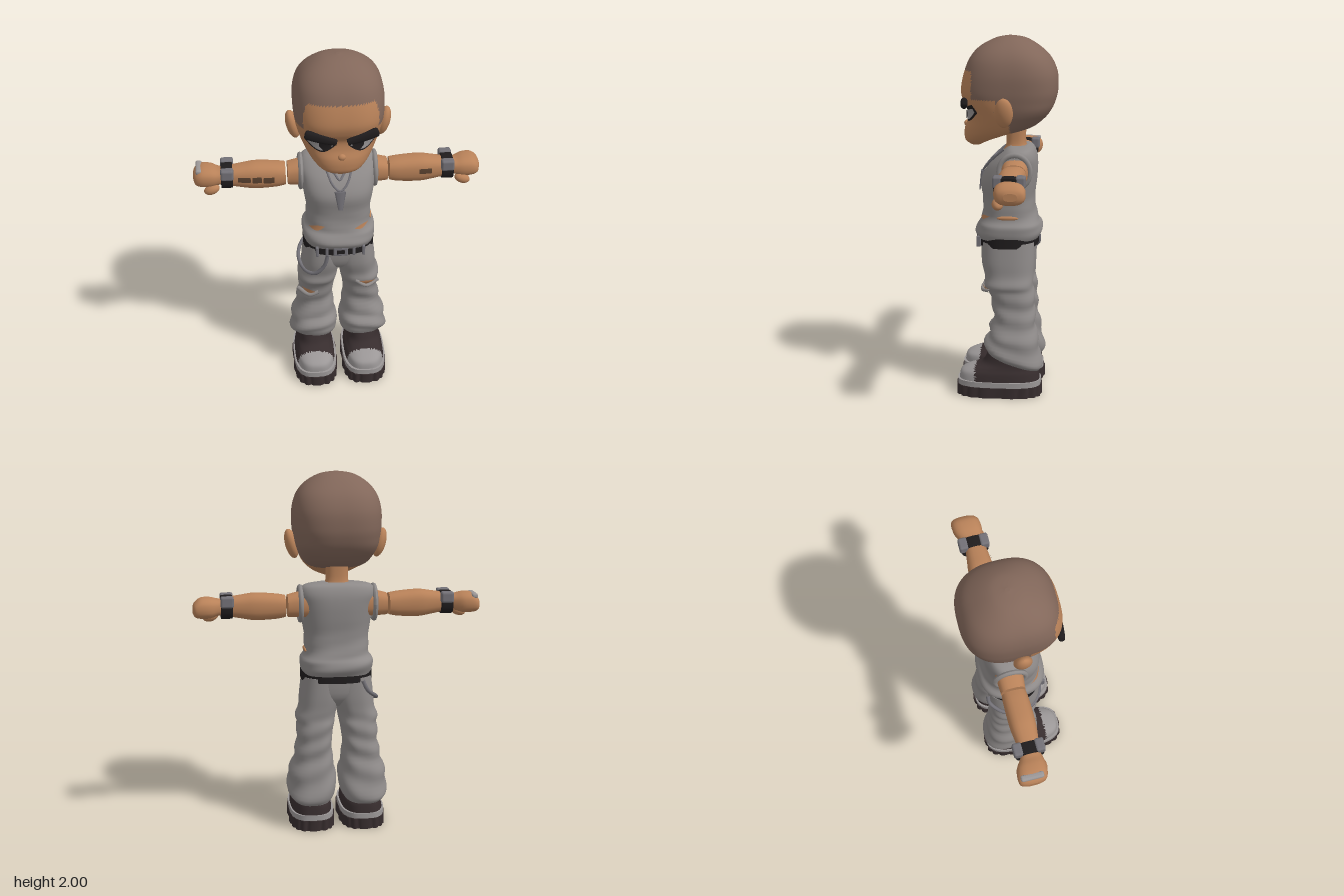
import * as THREE from 'three';
import { RoundedBoxGeometry } from 'three/addons/geometries/RoundedBoxGeometry.js';

const mat = (name, color) => Object.assign(new THREE.MeshStandardMaterial({ color }), { name });
const V = (x, y, z) => new THREE.Vector3(x, y, z);

// Smooth blend of cross-section rows [y, xMin, xMax, zMin, zMax, squareness]
function rowAt(rows, u) {
  const i = Math.min(Math.floor(u), rows.length - 2), t = u - i;
  const r = k => rows[Math.max(0, Math.min(rows.length - 1, k))];
  return [0, 1, 2, 3, 4, 5].map(k => {
    const [a, b, c, d] = [r(i - 1), r(i), r(i + 1), r(i + 2)].map(q => q[k] ?? 2.5);
    return b + 0.5 * t * (c - a + t * (2 * a - 5 * b + 4 * c - d + t * (3 * (b - c) + d - a)));
  });
}

// Capped loft along y; pick() sends faces to a second material, deform() shifts points
function loft(rows, { cols = 32, sub = 4, pick = () => 0, deform } = {}) {
  const pos = [], idx = [[], []], n = (rows.length - 1) * sub;
  for (let j = 0; j <= n; j++) {
    const [y, x0, x1, z0, z1, p] = rowAt(rows, j / sub);
    for (let i = 0; i < cols; i++) {
      const a = i / cols * Math.PI * 2, c = Math.cos(a), s = Math.sin(a);
      const v = V((x0 + x1) / 2 + (x1 - x0) / 2 * Math.sign(c) * Math.abs(c) ** (2 / p), y,
        (z0 + z1) / 2 + (z1 - z0) / 2 * Math.sign(s) * Math.abs(s) ** (2 / p));
      if (deform) deform(v, a, (x0 + x1) / 2, (z0 + z1) / 2);
      pos.push(v.x, v.y, v.z);
    }
  }
  const tri = (a, b, c) => {
    const m = k => (pos[a * 3 + k] + pos[b * 3 + k] + pos[c * 3 + k]) / 3;
    idx[pick(m(0), m(1), m(2)) ? 1 : 0].push(a, b, c);
  };
  for (let j = 0; j < n; j++) for (let i = 0; i < cols; i++) {
    const a = j * cols + i, b = j * cols + (i + 1) % cols;
    tri(a, a + cols, b); tri(b, a + cols, b + cols);
  }
  for (const j of [0, n]) {
    const base = pos.length / 3, mid = [0, 0, 0];
    for (let i = 0; i < cols; i++) for (let k = 0; k < 3; k++) {
      const q = pos[(j * cols + i) * 3 + k];
      pos.push(q); mid[k] += q / cols;
    }
    pos.push(...mid);
    for (let i = 0; i < cols; i++) {
      const a = base + i, b = base + (i + 1) % cols;
      j ? tri(b, a, base + cols) : tri(a, b, base + cols);
    }
  }
  const g = new THREE.BufferGeometry();
  g.setAttribute('position', new THREE.Float32BufferAttribute(pos, 3));
  g.setIndex([...idx[0], ...idx[1]]);
  g.addGroup(0, idx[0].length, 0); g.addGroup(idx[0].length, idx[1].length, 1);
  g.computeVertexNormals();
  return g;
}

// Front surface depth of a loft at x, y
function frontZ(rows, x, y) {
  let lo = 0, hi = rows.length - 1;
  for (let k = 0; k < 30; k++) { const m = (lo + hi) / 2; rowAt(rows, m)[0] < y ? lo = m : hi = m; }
  const [, x0, x1, z0, z1, p] = rowAt(rows, lo);
  const t = Math.min(0.99, Math.abs(x - (x0 + x1) / 2) / ((x1 - x0) / 2));
  return (z0 + z1) / 2 + (z1 - z0) / 2 * (1 - t ** p) ** (1 / p);
}

// Thin sheet following the front of a loft between two curves
function patch(rows, x0, x1, bottom, top, off) {
  const g = new THREE.PlaneGeometry(1, 1, 12, 6), P = g.attributes.position;
  for (let i = 0; i < P.count; i++) {
    const t = P.getX(i) + 0.5, x = x0 + (x1 - x0) * t;
    const y = bottom(t) + (top(t) - bottom(t)) * (P.getY(i) + 0.5);
    P.setXYZ(i, x, y, frontZ(rows, x, y) + off);
  }
  g.computeVertexNormals();
  return g;
}
const lens = (rows, x0, x1, y, h, slope, off) => patch(rows, x0, x1,
  t => y + slope * t - h * Math.sin(Math.PI * t), t => y + slope * t + h * 0.6 * Math.sin(Math.PI * t), off);

const tube = (pts, r, n = 24) => new THREE.TubeGeometry(new THREE.CatmullRomCurve3(pts), n, r, 8);
const ball = (x, y, z, a, b, c) => new THREE.SphereGeometry(1, 20, 14).scale(a, b, c).translate(x, y, z);
const box = (x, y, z, w, h, d, r = 0.01) => new RoundedBoxGeometry(w, h, d, 2, r).translate(x, y, z);

// Limb rows run along +x: [x, yMin, yMax, zMin, zMax]
const limbRows = rows => rows.map(([x, lo, hi, ...z]) => [x, -hi, -lo, ...z]);
const limb = rows => loft(limbRows(rows), { cols: 24 }).rotateZ(-Math.PI / 2);

function mirror(geo) {
  const g = geo.clone().scale(-1, 1, 1);
  if (!g.index) g.setIndex([...Array(g.attributes.position.count).keys()]);
  const a = g.index.array;
  for (let i = 0; i < a.length; i += 3) [a[i], a[i + 1]] = [a[i + 1], a[i]];
  g.computeVertexNormals();
  return g;
}

export function createModel() {
  const root = new THREE.Group();
  const skin = mat('skin', 0xb98259), hair = mat('cropped hair', 0x82675a), cloth = mat('grey cloth', 0x8e8a89),
    dark = mat('dark leather', 0x372d2e), black = mat('black', 0x1f1c1d), light = mat('light rubber', 0x9b9797),
    steel = mat('steel', 0x737177), ink = mat('ink', 0x59412f);
  const add = (name, geo, m) => {
    const mesh = new THREE.Mesh(geo, m); mesh.name = name; root.add(mesh);
  };
  const pair = (name, geo, m) => { add(name + 'Left', geo, m); add(name + 'Right', mirror(geo), m); };

  // Head with hairline, ears, nose
  const head = [
    [1.4, -0.04, 0.04, 0.15, 0.205, 2.2], [1.425, -0.1, 0.1, 0.1, 0.235, 2.3], [1.46, -0.145, 0.145, 0, 0.242, 2.3],
    [1.5, -0.18, 0.18, -0.13, 0.238, 2.4], [1.55, -0.207, 0.207, -0.2, 0.22, 2.6], [1.6, -0.225, 0.225, -0.24, 0.218, 2.8],
    [1.65, -0.235, 0.235, -0.262, 0.245, 2.8], [1.71, -0.242, 0.242, -0.274, 0.257, 2.8], [1.8, -0.241, 0.241, -0.27, 0.24, 2.7],
    [1.88, -0.218, 0.218, -0.235, 0.208, 2.6], [1.94, -0.17, 0.17, -0.175, 0.155, 2.4], [1.985, -0.095, 0.095, -0.1, 0.07, 2.2],
    [2, -0.01, 0.01, -0.025, 0, 2]];
  const isHair = (x, y, z) => y > 1.82 || (y > 1.67 && z < 0.185) || (y > 1.6 && z < 0.05) || (z < -0.02 && y > 1.47);
  add('head', loft(head, { cols: 96, sub: 7, pick: isHair }), [skin, hair]);
  pair('ear', ball(0, 0, 0, 0.035, 0.083, 0.05).rotateZ(-0.25).translate(0.245, 1.605, 0.005), skin);
  add('nose', ball(0, 1.515, 0.228, 0.022, 0.018, 0.018), skin);
  add('neck', loft([[1.3, -0.1, 0.1, -0.13, 0.04], [1.37, -0.085, 0.085, -0.12, 0.025], [1.41, -0.062, 0.062, -0.1, 0.01],
    [1.52, -0.065, 0.065, -0.1, 0.01]]), skin);

  // Eyes and brows
  const sin = t => Math.sin(Math.PI * t);
  pair('eyeOutline', patch(head, 0.035, 0.19, t => 1.58 + 0.015 * t - 0.045 * sin(t), t => 1.595 + 0.045 * t, 0.004), black);
  pair('eyeWhite', patch(head, 0.045, 0.182, t => 1.583 + 0.015 * t - 0.038 * sin(t), t => 1.588 + 0.03 * t, 0.008), light);
  pair('iris', patch(head, 0.055, 0.118, t => 1.578 - 0.025 * sin(t), t => 1.59 + 0.015 * t, 0.012), black);
  const browRows = [[0, -0.01, 0.01, -0.012, 0.012], [0.01, -0.017, 0.017, -0.016, 0.016], [0.09, -0.025, 0.025, -0.02, 0.02],
    [0.16, -0.024, 0.024, -0.018, 0.018], [0.172, -0.012, 0.012, -0.01, 0.01]];
  pair('brow', limb(browRows).rotateY(0.12).rotateZ(0.27).translate(0.028, 1.612, 0.243), black);

  // Sleeveless shirt
  const shirt = [[0.885, -0.19, 0.19, -0.175, 0.165, 2.7], [0.92, -0.205, 0.205, -0.19, 0.18, 2.7], [0.96, -0.2, 0.2, -0.19, 0.168, 2.7],
    [1, -0.182, 0.182, -0.165, 0.145, 2.6], [1.1, -0.18, 0.18, -0.15, 0.138, 2.6], [1.2, -0.195, 0.195, -0.16, 0.15, 2.6],
    [1.28, -0.205, 0.205, -0.165, 0.115, 2.6], [1.34, -0.21, 0.21, -0.16, 0.06, 2.7], [1.385, -0.185, 0.185, -0.14, 0.01, 2.6],
    [1.4, -0.1, 0.1, -0.11, -0.01, 2.4]];
  const folds = (v, a) => {
    const k = 0.004 * Math.sin(v.y * 70 + 3 * Math.cos(a)) * Math.max(0, 1 - Math.abs(v.y - 0.97) * 5);
    v.x += k * Math.cos(a); v.z += k * Math.sin(a);
  };
  add('shirt', loft(shirt, { cols: 48, deform: folds }), cloth);
  pair('armhole', new THREE.TorusGeometry(0.085, 0.014, 8, 28).scale(1, 1.08, 1).rotateY(Math.PI / 2).translate(0.205, 1.28, -0.05), cloth);
  add('shirtRipRight', lens(shirt, -0.17, -0.085, 1.0, 0.018, 0.025, 0.008), skin);
  add('shirtRipLeft', lens(shirt, 0.08, 0.16, 1.005, 0.015, 0.015, 0.008), skin);
  add('shirtRipSide', ball(0.177, 1.015, -0.01, 0.01, 0.012, 0.06), skin);

  // Necklaces and pendant
  const onChest = (x, y) => V(x, y, frontZ(shirt, x, y) + 0.008);
  for (const [x, low] of [[0.085, 1.25], [0.065, 1.3]])
    add('necklace', tube([[-x, 1.38], [-x * 0.8, 1.34], [-x * 0.45, low + 0.03], [0, low], [x * 0.45, low + 0.03], [x * 0.8, 1.34], [x, 1.38]]
      .map(q => onChest(...q)), 0.006), steel);
  add('pendant', new THREE.CylinderGeometry(0.032, 0.012, 0.11, 8).scale(1, 1, 0.3).rotateX(-0.15).translate(0, 1.195, 0.152), steel);

  // Belt, buckle and hip chain
  add('belt', loft([[0.845, -0.2, 0.2, -0.172, 0.162], [0.9, -0.2, 0.2, -0.172, 0.162]], { cols: 48 }), black);
  add('buckle', box(0, 0.872, 0.164, 0.08, 0.055, 0.018, 0.006), steel);
  add('buckleCentre', box(0, 0.872, 0.171, 0.045, 0.026, 0.01, 0.004), black);
  for (const x of [-0.13, -0.075, 0.075, 0.13]) add('beltLoop', box(x, 0.872, 0.155, 0.016, 0.06, 0.025, 0.005), steel);
  add('hipChain', tube([V(-0.07, 0.85, 0.155), V(-0.09, 0.77, 0.15), V(-0.14, 0.71, 0.135), V(-0.19, 0.7, 0.09), V(-0.225, 0.72, 0),
    V(-0.215, 0.75, -0.09), V(-0.16, 0.8, -0.16), V(-0.13, 0.86, -0.165)], 0.011, 48), steel);

  // Baggy trousers
  const leg = [[0.19, 0.03, 0.262, -0.195, 0.1], [0.225, 0.01, 0.28, -0.2, 0.12], [0.3, 0.008, 0.275, -0.185, 0.115],
    [0.36, 0.02, 0.258, -0.17, 0.09], [0.45, 0.03, 0.235, -0.16, 0.07], [0.52, 0.03, 0.23, -0.16, 0.078], [0.59, 0.016, 0.225, -0.155, 0.1],
    [0.63, 0.01, 0.236, -0.15, 0.122], [0.68, 0, 0.215, -0.15, 0.122], [0.76, -0.02, 0.208, -0.155, 0.14], [0.87, -0.02, 0.195, -0.155, 0.14]];
  const baggy = (v, a, cx, cz) => {
    const k = 0.007 * Math.sin(v.y * 55 + 2.5 * Math.cos(a + 0.6)) * Math.max(0, Math.min(1, (0.7 - v.y) * 5));
    v.y += (v.z - cz) * 0.3 * Math.max(0, Math.min(1, (0.36 - v.y) * 7));
    v.x += k * Math.cos(a) * (v.x > cx ? 1 : 0.3); v.z += k * Math.sin(a);
  };
  pair('trouserLeg', loft(leg, { cols: 40, deform: baggy }), cloth);
  add('hips', loft([[0.7, -0.1, 0.1, -0.1, 0.08], [0.76, -0.18, 0.18, -0.148, 0.13], [0.87, -0.195, 0.195, -0.158, 0.145]]), cloth);
  add('kneeRipLeft', lens(leg, 0.095, 0.215, 0.628, 0.022, -0.01, 0.01), skin);
  add('kneeFlapLeft', tube([V(0.09, 0.635, 0.12), V(0.15, 0.605, 0.132), V(0.222, 0.612, 0.085)], 0.01), cloth);
  add('kneeRipRight', mirror(lens(leg, 0.14, 0.215, 0.55, 0.018, 0.015, 0.012)), skin);
  add('kneeFlapRight', tube([V(-0.12, 0.545, 0.09), V(-0.175, 0.525, 0.085), V(-0.235, 0.54, 0.03)], 0.012), cloth);

  // Boots: treaded sole, pale welt, upper with toe cap
  const tread = (v, a, cx, cz) => {
    const k = 0.97 + 0.05 * Math.abs(Math.sin(a * 9));
    v.x = cx + (v.x - cx) * k; v.z = cz + (v.z - cz) * k;
  };
  const slab = (y0, y1, x0, x1, z0, z1) => [[y0, x0, x1, z0, z1, 3], [y1, x0, x1, z0, z1, 3]];
  pair('sole', loft(slab(0, 0.06, 0.016, 0.272, -0.2, 0.275), { cols: 108, sub: 1, deform: tread }), dark);
  pair('welt', loft(slab(0.06, 0.09, 0.02, 0.27, -0.197, 0.272), { sub: 1 }), light);
  pair('boot', loft([[0.088, 0.03, 0.262, -0.19, 0.262, 2.8], [0.13, 0.035, 0.255, -0.185, 0.255, 2.7], [0.155, 0.05, 0.245, -0.18, 0.215, 2.5],
    [0.18, 0.058, 0.238, -0.175, 0.14, 2.4], [0.22, 0.062, 0.235, -0.17, 0.11, 2.4], [0.28, 0.06, 0.235, -0.165, 0.085, 2.4]],
  { cols: 56, sub: 5, pick: (x, y, z) => z > 0.17 && y < 0.19 }), [dark, light]);

  // Arms in two pieces, wristband, fist
  const arm = [[0.288, 1.21, 1.328, -0.12, 0.012], [0.34, 1.2, 1.337, -0.122, 0.018], [0.45, 1.195, 1.345, -0.122, 0.02],
    [0.52, 1.205, 1.337, -0.115, 0.016], [0.63, 1.225, 1.32, -0.1, 0.002]];
  pair('shoulder', limb([[0.13, 1.205, 1.35, -0.125, 0.025], [0.2, 1.205, 1.348, -0.125, 0.022], [0.276, 1.21, 1.33, -0.12, 0.014]]), skin);
  pair('forearm', limb(arm), skin);
  const tattoo = (x0, x1, y0, y1) => patch(limbRows(arm), -y1, -y0, () => x0, () => x1, 0.004).rotateZ(-Math.PI / 2);
  for (const [x0, x1, y0, y1] of [[0.35, 0.41, 1.25, 1.285], [0.42, 0.47, 1.255, 1.29], [0.48, 0.55, 1.26, 1.29]])
    add('armTattooRight', mirror(tattoo(x0, x1, y0, y1)), ink);
  add('armTattooLeft', tattoo(0.45, 0.52, 1.265, 1.295), ink);
  pair('wristband', limb([[0.578, 1.212, 1.33, -0.125, 0.02], [0.585, 1.208, 1.335, -0.13, 0.024], [0.635, 1.208, 1.335, -0.13, 0.024],
    [0.642, 1.212, 1.33, -0.125, 0.02]]), black);
  for (const z of [0.005, -0.115]) pair('bandPlate', box(0.608, 1.308, z, 0.072, 0.062, 0.05, 0.012), steel);
  pair('fist', limb([[0.63, 1.228, 1.318, -0.1, 0], [0.66, 1.226, 1.318, -0.12, 0.008], [0.7, 1.215, 1.328, -0.143, 0.015],
    [0.75, 1.215, 1.327, -0.15, 0.012], [0.782, 1.225, 1.305, -0.142, -0.005], [0.794, 1.245, 1.285, -0.11, -0.04]]), skin);
  pair('thumb', ball(0, 0, 0, 0.045, 0.028, 0.03).rotateZ(-0.35).translate(0.695, 1.212, -0.005), skin);
  add('knuckleWrap', mirror(box(0.762, 1.312, -0.075, 0.035, 0.03, 0.125, 0.012)), light);
  return root;
}
